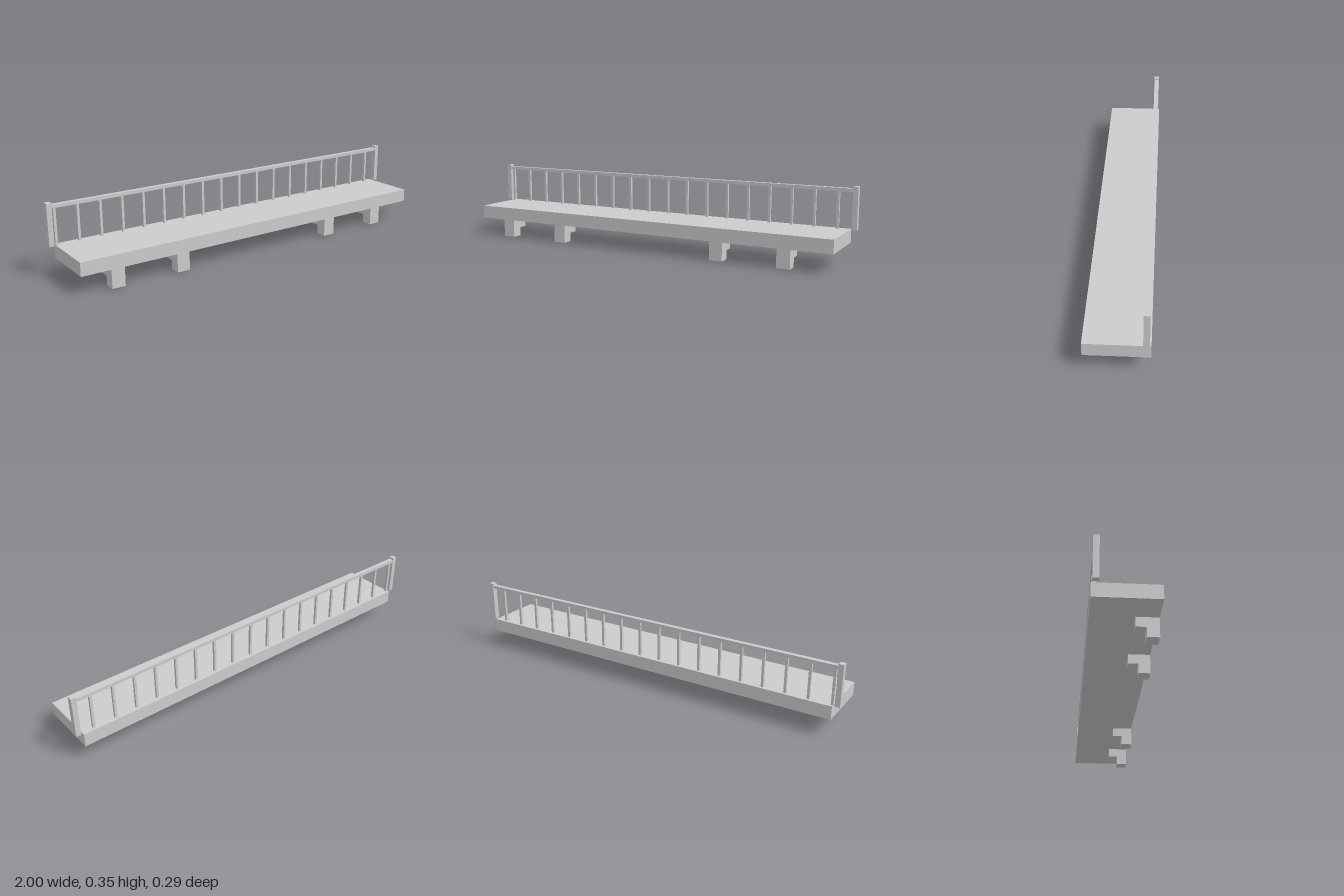
import * as THREE from 'three';

const material = new THREE.MeshStandardMaterial({ color: 0xcccccc, flatShading: true });

// Box given by its extents on each axis
function box(name, [x0, x1], [y0, y1], [z0, z1]) {
  const mesh = new THREE.Mesh(new THREE.BoxGeometry(x1 - x0, y1 - y0, z1 - z0), material);
  mesh.position.set((x0 + x1) / 2, (y0 + y1) / 2, (z0 + z1) / 2);
  mesh.name = name;
  return mesh;
}

export function createModel() {
  const model = new THREE.Group();
  model.name = 'balcony';
  const slabTop = 0.155, slabBottom = 0.09, front = 0.143, railZ = -0.1225;

  // Floor slab
  model.add(box('floorSlab', [-0.967, 0.967], [slabBottom, slabTop], [-0.142, front]));

  // Stepped brackets under the front edge: L profile in z/y, extruded along x
  const profile = new THREE.Shape([
    [-front, 0], [-0.09, 0], [-0.09, 0.045], [-0.045, 0.045], [-0.045, slabBottom], [-front, slabBottom],
  ].map(([x, y]) => new THREE.Vector2(x, y)));
  const width = 0.064;
  const bracketGeometry = new THREE.ExtrudeGeometry(profile, { depth: width, bevelEnabled: false });
  bracketGeometry.translate(0, 0, -width / 2).rotateY(Math.PI / 2);
  for (const x of [-0.794, -0.465, 0.416, 0.743]) {
    const bracket = new THREE.Mesh(bracketGeometry, material);
    bracket.position.x = x;
    bracket.name = 'bracket';
    model.add(bracket);
  }

  // Railing: end posts, handrail and evenly spaced balusters
  const railing = new THREE.Group();
  railing.name = 'railing';
  const postZ = [railZ - 0.0135, railZ + 0.0135];
  railing.add(box('rightPost', [-1, -0.976], [slabTop, 0.355], postZ));
  railing.add(box('leftPost', [0.976, 1], [slabTop, 0.355], postZ));
  railing.add(box('handrail', [-0.976, 0.976], [0.329, 0.345], [railZ - 0.011, railZ + 0.011]));
  for (let i = 0; i < 18; i++) {
    const x = -0.962 + i * 0.11;
    railing.add(box('baluster', [x - 0.006, x + 0.006], [slabTop, 0.329], [railZ - 0.006, railZ + 0.006]));
  }
  model.add(railing);
  return model;
}
